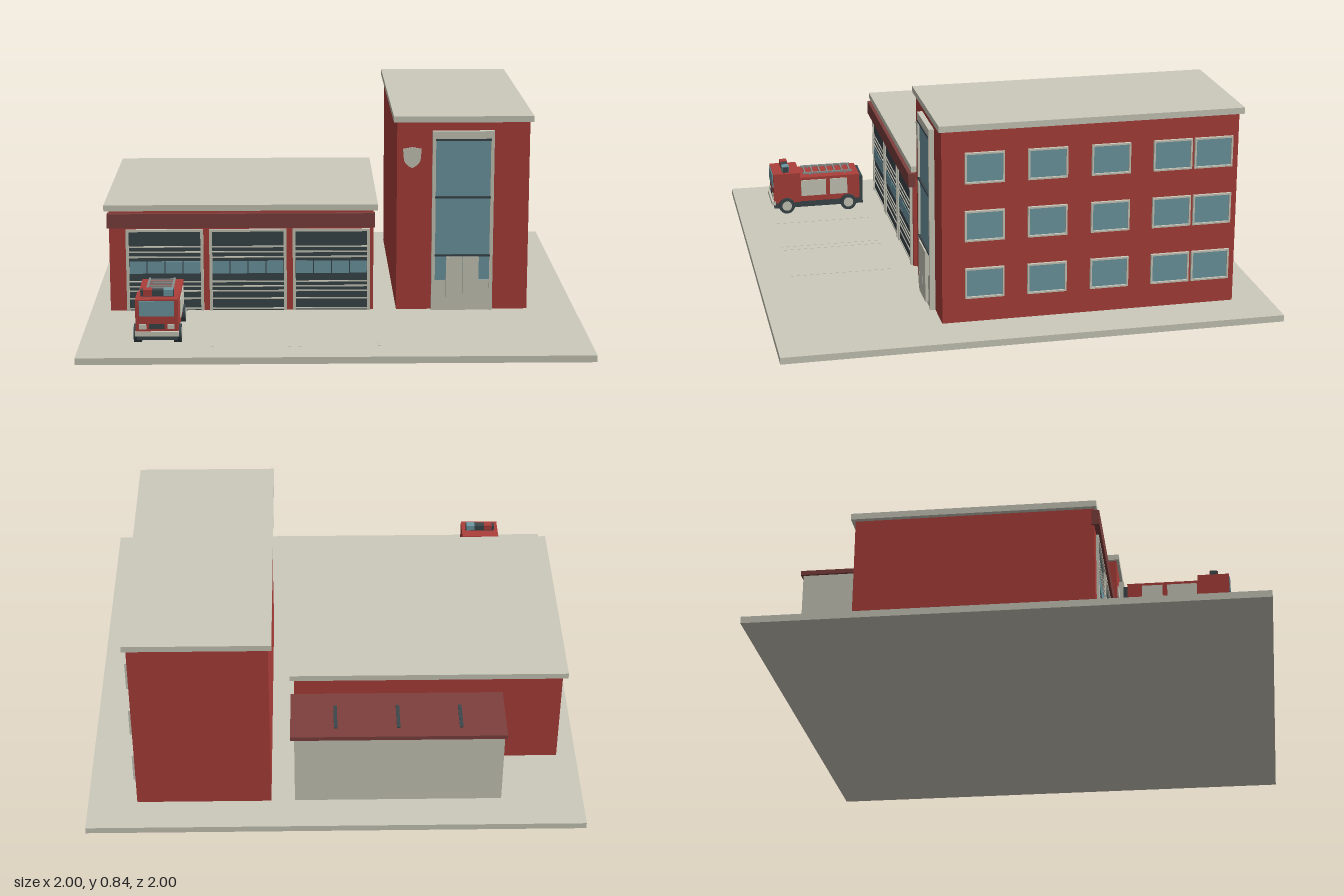
import * as THREE from 'three';

const mat = (name, color) => {
  const m = new THREE.MeshStandardMaterial({ color });
  m.name = name;
  return m;
};

export function createModel() {
  const cream = mat('cream', 0xcbcabb);
  const red = mat('brick red', 0xac3f3a);
  const darkRed = mat('dark red', 0x7d403d);
  const glass = mat('glass', 0x6f99a3);
  const dark = mat('charcoal', 0x3a474c);
  const grey = mat('ladder grey', 0x8a8f8c);

  const root = new THREE.Group();
  root.name = 'fireStation';
  const group = (name, parent = root) => {
    const g = new THREE.Group();
    g.name = name;
    parent.add(g);
    return g;
  };
  // Box given by its limits along each axis
  const box = (parent, name, m, [x0, x1], [y0, y1], [z0, z1]) => {
    const mesh = new THREE.Mesh(new THREE.BoxGeometry(x1 - x0, y1 - y0, z1 - z0), m);
    mesh.position.set((x0 + x1) / 2, (y0 + y1) / 2, (z0 + z1) / 2);
    mesh.name = name;
    parent.add(mesh);
    return mesh;
  };

  // Ground slab and bay markings
  const G = 0.027;
  box(root, 'ground', cream, [-1, 1], [0, G], [-1, 1]);
  for (const x of [-0.48, -0.18, -0.14, 0.17])
    box(root, 'bayMarking', cream, [x - 0.005, x + 0.005], [G, G + 0.001], [0.43, 0.86]);

  // Garage hall
  const garage = group('garage');
  box(garage, 'garageWalls', red, [-0.92, 0.165], [G, 0.45], [-0.59, 0.34]);
  box(garage, 'garageFascia', darkRed, [-0.927, 0.17], [0.38, 0.44], [0.33, 0.36]);
  box(garage, 'garageRoof', cream, [-0.94, 0.183], [0.45, 0.475], [-0.605, 0.35]);

  // Three roll-up doors with frame, slats and a window row
  for (const x of [-0.693, -0.351, -0.008]) {
    const door = group('garageDoor', garage);
    const w = 0.153;
    box(door, 'doorPanel', dark, [x - w, x + w], [G, 0.366], [0.338, 0.344]);
    for (const s of [-1, 1]) {
      const e = x + s * w;
      box(door, 'doorJamb', cream, [e - 0.006, e + 0.006], [G, 0.372], [0.338, 0.351]);
    }
    box(door, 'doorLintel', cream, [x - w, x + w], [0.362, 0.372], [0.338, 0.351]);
    for (const y of [0.298, 0.276, 0.254, 0.15, 0.13, 0.11, 0.078, 0.035])
      box(door, 'doorSlat', cream, [x - w, x + w], [y - 0.003, y + 0.003], [0.343, 0.347]);
    for (let i = 0; i < 4; i++) {
      const c = x + (i - 1.5) * 0.074;
      box(door, 'doorWindow', glass, [c - 0.035, c + 0.035], [0.185, 0.237], [0.343, 0.347]);
    }
  }

  // Rear annex
  const annex = group('annex');
  box(annex, 'annexWalls', cream, [-0.67, 0.165], [G, 0.352], [-0.848, -0.58]);
  box(annex, 'annexRoof', darkRed, [-0.68, 0.18], [0.352, 0.37], [-0.857, -0.59]);
  for (const x of [-0.5, -0.25, 0])
    box(annex, 'roofVent', dark, [x - 0.007, x + 0.007], [0.37, 0.375], [-0.805, -0.67]);

  // Tower
  const tower = group('tower');
  box(tower, 'towerWalls', red, [0.26, 0.802], [G, 0.815], [-0.85, 0.34]);
  box(tower, 'towerRoof', cream, [0.246, 0.817], [0.815, 0.84], [-0.867, 0.352]);

  // Side windows in three storeys
  const bays = [[0.093, 0.25], [-0.158, 0], [-0.41, -0.254], [-0.66, -0.503], [-0.826, -0.67]];
  for (const y of [0.127, 0.364, 0.6]) {
    for (const [a, b] of bays) {
      const win = group('sideWindow', tower);
      box(win, 'windowGlass', glass, [0.8, 0.805], [y + 0.006, y + 0.119], [a + 0.006, b - 0.006]);
      for (const [p, q] of [[a, a + 0.007], [b - 0.007, b]])
        box(win, 'windowJamb', cream, [0.8, 0.813], [y, y + 0.125], [p, q]);
      for (const p of [y, y + 0.118])
        box(win, 'windowSill', cream, [0.8, 0.813], [p, p + 0.007], [a, b]);
    }
  }

  // Glazed stairwell front with entrance
  const entry = group('entranceBay', tower);
  box(entry, 'bayBacking', cream, [0.41, 0.645], [G, 0.77], [0.335, 0.347]);
  for (const [a, b] of [[0.404, 0.418], [0.642, 0.656]])
    box(entry, 'bayJamb', cream, [a, b], [G, 0.78], [0.335, 0.362]);
  box(entry, 'bayHead', cream, [0.404, 0.656], [0.747, 0.78], [0.335, 0.362]);
  box(entry, 'stairGlass', glass, [0.418, 0.642], [0.155, 0.747], [0.346, 0.354]);
  for (const y of [0.745, 0.505, 0.26])
    box(entry, 'glazingBar', dark, [0.416, 0.644], [y - 0.004, y + 0.004], [0.346, 0.364]);
  box(entry, 'sidePanel', cream, [0.418, 0.642], [G, 0.155], [0.346, 0.358]);
  for (const [a, b] of [[0.464, 0.53], [0.532, 0.598]])
    box(entry, 'entranceDoor', cream, [a, b], [0.04, 0.255], [0.346, 0.37]);

  // Plain shield plaque
  const s = new THREE.Shape();
  s.moveTo(0, 0.043);
  s.lineTo(0.038, 0.036);
  s.lineTo(0.034, -0.01);
  s.quadraticCurveTo(0.027, -0.032, 0, -0.043);
  s.quadraticCurveTo(-0.027, -0.032, -0.034, -0.01);
  s.lineTo(-0.038, 0.036);
  const plaque = new THREE.Mesh(
    new THREE.ExtrudeGeometry(s, { depth: 0.008, bevelEnabled: false, curveSegments: 5 }), cream);
  plaque.name = 'plaque';
  plaque.position.set(0.322, 0.668, 0.338);
  tower.add(plaque);

  // Fire engine, built around x = 0
  const truck = group('fireEngine');
  truck.position.x = -0.695;
  box(truck, 'chassis', dark, [-0.078, 0.078], [0.05, 0.08], [0.437, 0.84]);
  box(truck, 'cab', red, [-0.083, 0.083], [0.075, 0.213], [0.722, 0.842]);
  box(truck, 'body', red, [-0.083, 0.083], [0.078, 0.19], [0.452, 0.722]);
  box(truck, 'rearPanel', dark, [-0.078, 0.078], [0.08, 0.18], [0.437, 0.452]);
  box(truck, 'windscreen', glass, [-0.068, 0.068], [0.146, 0.208], [0.84, 0.846]);
  box(truck, 'bumper', cream, [-0.085, 0.085], [0.068, 0.086], [0.835, 0.852]);
  box(truck, 'grille', dark, [-0.03, 0.03], [0.096, 0.116], [0.84, 0.845]);
  box(truck, 'lightBarBase', dark, [-0.065, 0.065], [0.213, 0.238], [0.77, 0.798]);
  box(truck, 'beacon', glass, [0.025, 0.062], [0.216, 0.241], [0.768, 0.8]);
  box(truck, 'beaconRed', red, [-0.055, -0.02], [0.216, 0.241], [0.768, 0.8]);
  const wheelGeo = new THREE.CylinderGeometry(0.036, 0.036, 0.03, 20).rotateZ(Math.PI / 2);
  const hubGeo = new THREE.CylinderGeometry(0.022, 0.022, 0.034, 16).rotateZ(Math.PI / 2);
  for (const side of [-1, 1]) {
    const plate = (name, m, y, z) =>
      box(truck, name, m, side < 0 ? [-0.087, -0.08] : [0.08, 0.087], y, z);
    plate('lockerDoor', cream, [0.104, 0.178], [0.605, 0.718]);
    plate('lockerDoor', cream, [0.104, 0.178], [0.508, 0.587]);
    const hx = side * 0.055;
    box(truck, 'headlight', cream, [hx - 0.014, hx + 0.014], [0.095, 0.115], [0.84, 0.846]);
    for (const z of [0.785, 0.505]) {
      for (const [name, geo, m] of [['wheel', wheelGeo, dark], ['hub', hubGeo, cream]]) {
        const w = new THREE.Mesh(geo, m);
        w.name = name;
        w.position.set(side * 0.078, G + 0.036, z);
        truck.add(w);
      }
    }
    // Ladder rail and its supports
    const rx = side * 0.05;
    box(truck, 'ladderRail', grey, [rx - 0.004, rx + 0.004], [0.196, 0.204], [0.48, 0.705]);
    for (const z of [0.51, 0.67])
      box(truck, 'ladderSupport', grey, [rx - 0.003, rx + 0.003], [0.188, 0.197], [z, z + 0.006]);
  }
  for (let i = 0; i < 7; i++) {
    const z = 0.49 + i * 0.034;
    box(truck, 'ladderRung', grey, [-0.05, 0.05], [0.197, 0.203], [z - 0.003, z + 0.003]);
  }
  return root;
}
